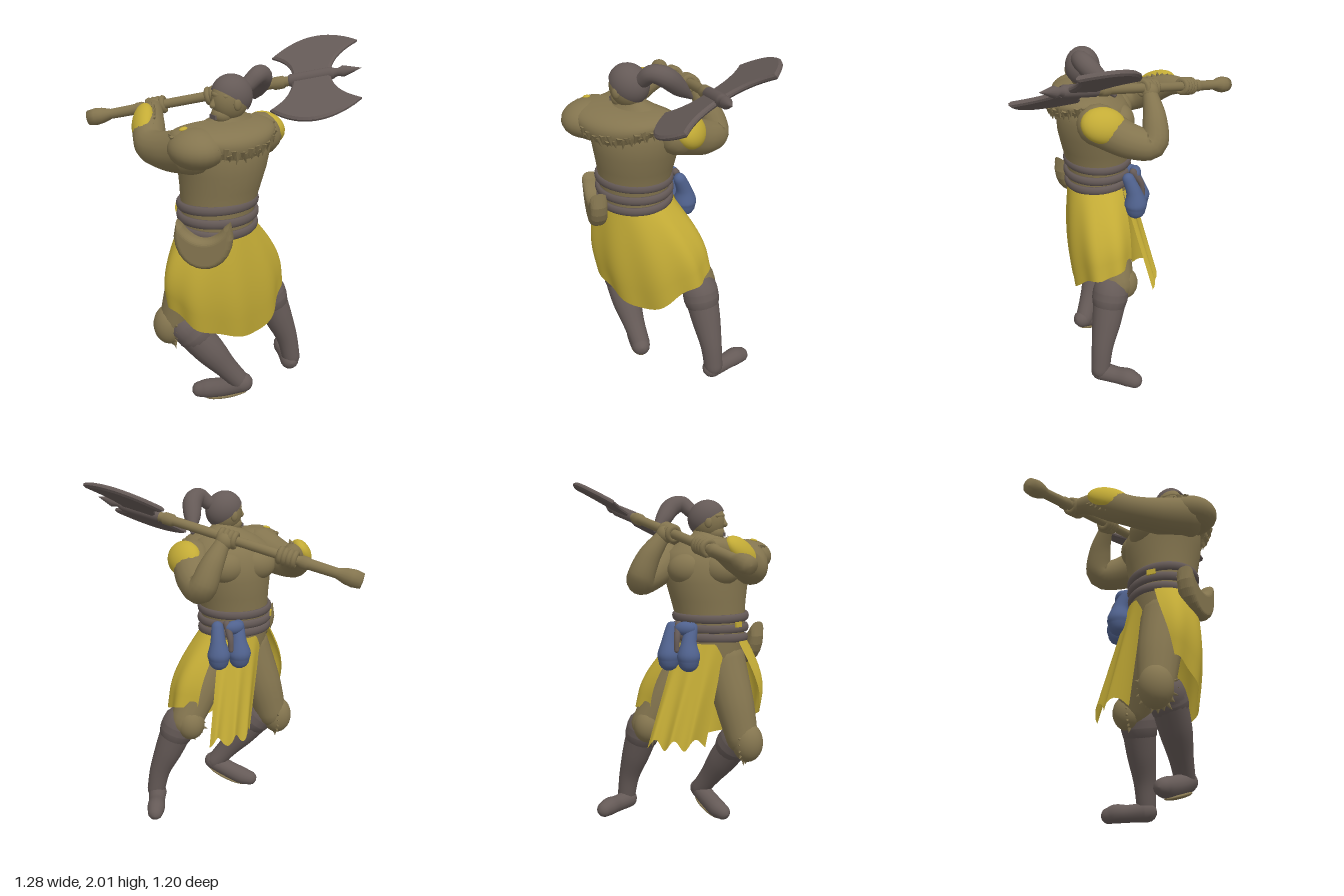
import * as THREE from 'three';
import { ParametricGeometry } from 'three/addons/geometries/ParametricGeometry.js';

const V = (x, y, z) => new THREE.Vector3(x, y, z);
const material = (name, color) => {
  const m = new THREE.MeshStandardMaterial({ color, side: THREE.DoubleSide });
  m.name = name;
  return m;
};

export function createModel() {
  const skin = material('brown hide', 0x84754f);
  const dark = material('dark leather and steel', 0x655a57);
  const gold = material('yellow cloth', 0xc4ac36);
  const blue = material('blue cloth', 0x50628e);
  const model = new THREE.Group();
  model.name = 'axeWarrior';

  const add = (name, geometry, mat, parent = model) => {
    const mesh = new THREE.Mesh(geometry, mat);
    mesh.name = name;
    parent.add(mesh);
    return mesh;
  };
  // Skin rings of equal point count into a smooth surface
  const skinRings = (rings) => {
    const n = rings[0].length, index = [];
    for (let i = 0; i < rings.length - 1; i++) {
      for (let j = 0; j < n; j++) {
        const a = i * n + j, b = i * n + (j + 1) % n;
        index.push(a, b, a + n, b, b + n, a + n);
      }
    }
    const g = new THREE.BufferGeometry().setFromPoints(rings.flat());
    g.setIndex(index);
    g.computeVertexNormals();
    return g;
  };
  // Round-ended tube through points [x, y, z, radius]
  const limb = (name, mat, pts, sides = 16) => {
    const curve = new THREE.CatmullRomCurve3(pts.map((p) => V(p[0], p[1], p[2])));
    const radius = new THREE.CatmullRomCurve3(pts.map((p, i) => V(p[3], i, 0)), false, 'catmullrom', 0.5);
    const steps = pts.length * 6, frames = curve.computeFrenetFrames(steps), rings = [];
    const ring = (i, slide, shrink) => {
      const t = curve.getUtoTmapping(i / steps), r = radius.getPoint(t).x;
      const c = curve.getPoint(t).addScaledVector(frames.tangents[i], slide * r);
      rings.push(Array.from({ length: sides }, (_, j) => {
        const a = j / sides * Math.PI * 2;
        return c.clone().addScaledVector(frames.normals[i], Math.cos(a) * r * shrink)
          .addScaledVector(frames.binormals[i], Math.sin(a) * r * shrink);
      }));
    };
    for (let k = 4; k > 0; k--) ring(0, -Math.sin(k * Math.PI / 8), Math.cos(k * Math.PI / 8) + 1e-4);
    for (let i = 0; i <= steps; i++) ring(i, 0, 1);
    for (let k = 1; k <= 4; k++) ring(steps, Math.sin(k * Math.PI / 8), Math.cos(k * Math.PI / 8) + 1e-4);
    return add(name, skinRings(rings), mat);
  };
  const ball = (name, mat, p, s) => {
    const m = add(name, new THREE.SphereGeometry(1, 24, 16), mat);
    m.position.set(...p);
    m.scale.set(...s);
    return m;
  };
  // Place an object with its local x along xDir and z close to zDir
  const orient = (o, p, xDir, zDir) => {
    const x = xDir.clone().normalize(), y = zDir.clone().cross(x).normalize();
    o.quaternion.setFromRotationMatrix(new THREE.Matrix4().makeBasis(x, y, x.clone().cross(y)));
    o.position.set(...p);
    return o;
  };
  // Ring of fur tufts around an ellipse facing zDir
  const fur = (name, p, xDir, zDir, rx, ry, n, len) => {
    const g = orient(new THREE.Group(), p, xDir, zDir);
    g.name = name;
    model.add(g);
    for (let i = 0; i < n; i++) {
      const a = i / n * Math.PI * 2;
      const c = add('furTuft', new THREE.ConeGeometry(len * 0.5, len * (1 + 0.4 * Math.sin(i * 2.3)), 5), skin, g);
      c.position.set(rx * Math.cos(a), ry * Math.sin(a), 0);
      c.rotation.z = a - Math.PI / 2;
    }
  };

  // Torso as stacked ellipses [y, cx, cz, rx, rz]
  const torso = [[0.95, 0.2, 0.24, 0.17, 0.2], [1.08, 0.2, 0.25, 0.18, 0.2], [1.2, 0.2, 0.25, 0.18, 0.2],
    [1.32, 0.205, 0.235, 0.2, 0.22], [1.42, 0.21, 0.225, 0.215, 0.24], [1.52, 0.215, 0.22, 0.215, 0.26],
    [1.6, 0.225, 0.22, 0.18, 0.25], [1.65, 0.24, 0.21, 0.11, 0.16], [1.7, 0.26, 0.2, 0.06, 0.07], [1.74, 0.27, 0.2, 0.05, 0.06]];
  add('torso', skinRings(torso.map(([y, cx, cz, rx, rz]) => Array.from({ length: 32 }, (_, j) => {
    const a = j / 32 * Math.PI * 2;
    return V(cx + rx * Math.sin(a), y, cz + rz * Math.cos(a));
  }))), skin);
  for (const z of [0.13, 0.33]) ball('chestMuscle', skin, [0.07, 1.5, z], [0.08, 0.09, 0.11]);

  // Fur mantle bulging over the upper back, ending in tufts
  const mantle = (u, v, t) => {
    const a = (u - 0.5) * 3.5, bulge = Math.sin(v * 2.05), edge = 1 - 0.1 * Math.abs(2 * u - 1) ** 4;
    const hem = 1.52 + 0.07 * Math.sin(a) ** 2;
    return t.set(0.235 + (0.06 + 0.185 * bulge) * edge * Math.cos(a), 1.675 - (1.675 - hem) * v * v,
      0.26 + (0.08 + 0.225 * bulge) * edge * Math.sin(a));
  };
  add('furMantle', new ParametricGeometry(mantle, 64, 14), skin);
  for (let i = 0; i < 46; i++) {
    const tuft = add('mantleTuft', new THREE.ConeGeometry(0.02, 0.05 + 0.015 * Math.sin(i * 2.3), 5), skin);
    mantle((i + 0.5) / 46, i % 2 ? 0.97 : 0.9, tuft.position);
    tuft.rotation.x = Math.PI + 0.25 * Math.sin(i * 1.7);
  }

  // Head, face and hair
  ball('head', skin, [0.27, 1.775, 0.22], [0.082, 0.11, 0.1]);
  ball('jaw', skin, [0.265, 1.705, 0.26], [0.055, 0.05, 0.06]);
  limb('nose', skin, [[0.267, 1.79, 0.308, 0.01], [0.265, 1.755, 0.32, 0.016]]);
  limb('brow', skin, [[0.215, 1.803, 0.28, 0.012], [0.267, 1.807, 0.305, 0.014], [0.32, 1.803, 0.28, 0.012]]);
  for (const x of [0.185, 0.355]) ball('ear', skin, [x, 1.765, 0.235], [0.014, 0.032, 0.022]);
  const mouth = add('mouth', new THREE.BoxGeometry(0.05, 0.022, 0.009), dark);
  mouth.position.set(0.264, 1.697, 0.318);
  const hair = add('hair', new THREE.SphereGeometry(1, 28, 18, 0, Math.PI * 2, 0, Math.PI * 0.56), dark);
  hair.position.set(0.27, 1.79, 0.21);
  hair.scale.set(0.096, 0.106, 0.112);
  hair.rotation.x = -0.6;
  limb('ponytail', dark, [[0.28, 1.83, 0.12, 0.04], [0.285, 1.875, 0.06, 0.046], [0.25, 1.855, 0.005, 0.054],
    [0.18, 1.785, -0.03, 0.046], [0.11, 1.715, -0.06, 0.013]]);

  // Arms
  limb('leftArm', skin, [[0.27, 1.55, 0.45, 0.12], [0.1, 1.515, 0.49, 0.1], [-0.04, 1.515, 0.5, 0.085],
    [-0.15, 1.575, 0.44, 0.084], [-0.23, 1.615, 0.375, 0.062], [-0.3, 1.63, 0.32, 0.045]]);
  limb('rightArm', skin, [[0.2, 1.54, -0.03, 0.115], [0.02, 1.46, -0.09, 0.095], [-0.09, 1.45, -0.1, 0.08],
    [-0.105, 1.57, -0.05, 0.065], [-0.085, 1.69, 0.03, 0.04]]);
  ball('leftShoulder', skin, [0.31, 1.57, 0.45], [0.15, 0.1, 0.14]);
  // Yellow pads on forearm and shoulders
  const pad = (name, p, axis, normal, size) => orient(ball(name, gold, [0, 0, 0], size), p, axis, normal);
  const bracerAxis = V(-0.2, 0.12, -0.13), bracerFace = V(-0.3, 0.5, 0.8);
  pad('forearmPad', [-0.165, 1.602, 0.47], bracerAxis, bracerFace, [0.13, 0.078, 0.052]);
  fur('bracerFur', [-0.16, 1.59, 0.45], bracerAxis, bracerFace, 0.13, 0.083, 24, 0.028);
  pad('rightShoulderPad', [0.17, 1.555, -0.085], V(1, 0.2, -0.1), V(-0.1, 0.5, -0.8), [0.125, 0.1, 0.075]);
  pad('leftShoulderSpot', [0.26, 1.664, 0.49], V(1, 0, 0), V(0, 1, 0.2), [0.018, 0.022, 0.008]);

  // Double-bladed axe: local x along the shaft, y towards the upper blade
  const axe = orient(new THREE.Group(), [0.3, 1.825, -0.3], V(1.07, 0.33, -1.02),
    V(1.07, 0.33, -1.02).cross(V(-0.335, 0.22, -0.295)));
  axe.name = 'axe';
  model.add(axe);
  const turned = (name, mat, pts) => {
    add(name, new THREE.LatheGeometry(pts.map((p) => new THREE.Vector2(...p)), 16), mat, axe).rotation.z = -Math.PI / 2;
  };
  turned('shaft', skin, [[0, -1.29], [0.042, -1.285], [0.048, -1.24], [0.043, -1.2], [0.028, -1.15], [0.03, -1],
    [0.035, -0.99], [0.035, -0.96], [0.026, -0.94], [0.026, -0.22], [0.034, -0.21], [0.034, -0.16], [0.026, -0.15], [0.026, 0.1]]);
  turned('axeSocket', dark, [[0.028, -0.13], [0.034, -0.12], [0.034, 0.09], [0.028, 0.11]]);
  turned('axeSpike', dark, [[0.028, 0.1], [0.02, 0.13], [0.03, 0.16], [0, 0.255]]);
  const bladeShape = new THREE.Shape();
  bladeShape.moveTo(-0.1, 0);
  bladeShape.quadraticCurveTo(-0.09, 0.14, -0.21, 0.222);
  bladeShape.quadraticCurveTo(0, 0.44, 0.226, 0.242);
  bladeShape.quadraticCurveTo(0.08, 0.15, 0.08, 0);
  const bladeGeometry = new THREE.ExtrudeGeometry(bladeShape, { depth: 0.01, bevelThickness: 0.01, bevelSize: 0.012, bevelSegments: 1, curveSegments: 16 });
  bladeGeometry.translate(0, 0, -0.005);
  for (const turn of [0, Math.PI]) add('axeBlade', bladeGeometry, dark, axe).rotation.x = turn;
  // Fists wrapped around the shaft
  for (const [side, u] of [['left', -0.878], ['right', -0.538]]) {
    for (let i = 0; i < 4; i++) {
      const finger = add(side + 'Finger', new THREE.TorusGeometry(0.034, 0.017, 8, 18), skin, axe);
      finger.position.x = u + (i - 1.5) * 0.026;
      finger.rotation.y = Math.PI / 2;
    }
  }
  ball('leftPalm', skin, [-0.315, 1.632, 0.305], [0.055, 0.048, 0.055]);
  ball('rightPalm', skin, [-0.085, 1.695, 0.04], [0.05, 0.05, 0.05]);

  // Wrapped belts and buckle
  [[1.105, 0.185, 0.207], [1.165, 0.188, 0.21], [1.23, 0.187, 0.21]].forEach(([y, rx, rz], i) => {
    const belt = add('belt', new THREE.TorusGeometry(1, 0.075, 10, 48).scale(rx, rz, 0.33), dark);
    belt.position.set(0.2, y, 0.25);
    belt.rotation.set(Math.PI / 2, 0.05 * (i - 1), 0);
  });
  const buckle = add('buckle', new THREE.BoxGeometry(0.05, 0.03, 0.009), gold);
  buckle.position.set(0.08, 1.19, 0.432);
  buckle.rotation.y = -0.6;

  // Skirt wrapped round the back, open over the front legs
  add('skirt', new ParametricGeometry((u, v, t) => {
    const a = -2.35 + u * (4.5 - 0.55 * v);
    const s = Math.sin(a), flare = Math.sin(Math.min(1, v * 1.25) * Math.PI / 2);
    const fold = 0.01 * v * Math.sin(a * 9);
    const hem = 0.46 + 0.19 * s * s + 0.015 * Math.sin(a * 5) + 0.1 * Math.max(0, -a - 1.4);
    t.set(0.195 - 0.03 * v + (0.18 + 0.055 * flare - 0.03 * v * v + fold) * Math.cos(a), 1.11 - (1.11 - hem) * v,
      0.255 - 0.08 * v + (0.2 + 0.165 * flare + fold) * s);
  }, 72, 16), gold);
  // Hanging front panel, curved round the open side
  add('frontPanel', new ParametricGeometry((u, v, t) => {
    const w = u * 2 - 1, fold = 0.014 * v * Math.sin(w * 9);
    const bottom = -0.13 + 0.12 * Math.max(w, 0) ** 2 + 0.03 * Math.max(-w, 0) ** 2;
    t.set((0.01 + 0.05 * w * w) * (1 - v) + bottom * v + fold, 1.08 - (0.57 - 0.03 * Math.cos(w * 9)) * v,
      (0.22 + 0.14 * w) * (1 - v) + (0.1 + 0.16 * w) * v);
  }, 32, 12), gold);

  // Crescent hip pouch
  const pouchShape = new THREE.Shape();
  pouchShape.moveTo(-0.13, 0.115);
  pouchShape.bezierCurveTo(-0.165, -0.165, 0.165, -0.165, 0.13, 0.115);
  pouchShape.quadraticCurveTo(0.08, 0.03, 0, 0.03);
  pouchShape.quadraticCurveTo(-0.08, 0.03, -0.13, 0.115);
  const pouch = add('hipPouch', new THREE.ExtrudeGeometry(pouchShape, { depth: 0.015, bevelThickness: 0.04, bevelSize: 0.03, bevelOffset: -0.01, bevelSegments: 6, curveSegments: 14 }), skin);
  orient(pouch, [0.325, 1.05, 0.425], V(1, 0, -1), V(1, 0, 1));

  // Blue purses hanging from the belt
  for (const [x, z] of [[0, 0.045], [-0.025, 0.165]]) {
    limb('bluePurse', blue, [[x + 0.03, 1.17, z + 0.01, 0.035], [x, 1.09, z, 0.045], [x - 0.01, 1.02, z, 0.066], [x - 0.01, 0.985, z, 0.06]]);
  }
  limb('purseCord', dark, [[0, 1.19, 0.1, 0.022], [-0.045, 1.12, 0.1, 0.018], [-0.055, 1.05, 0.1, 0.014]]);
  ball('blueKnot', blue, [-0.015, 1.17, 0.14], [0.035, 0.04, 0.06]);

  // Legs, boots and feet
  limb('leftThigh', skin, [[0.18, 0.98, 0.33, 0.13], [0.12, 0.72, 0.41, 0.115], [0.09, 0.53, 0.46, 0.095]]);
  limb('rightThigh', skin, [[0.2, 0.98, 0.14, 0.13], [0.15, 0.78, 0.01, 0.12], [0.11, 0.58, -0.11, 0.098]]);
  limb('leftBoot', dark, [[0.15, 0.5, 0.43, 0.095], [0.22, 0.35, 0.33, 0.087], [0.27, 0.23, 0.25, 0.065], [0.31, 0.13, 0.18, 0.055]]);
  limb('rightBoot', dark, [[0.15, 0.53, -0.145, 0.1], [0.18, 0.37, -0.2, 0.085], [0.21, 0.22, -0.25, 0.064], [0.225, 0.08, -0.275, 0.055]]);
  limb('leftBootCuff', dark, [[0.15, 0.5, 0.42, 0.1], [0.17, 0.46, 0.395, 0.102]]);
  limb('rightBootCuff', dark, [[0.15, 0.545, -0.142, 0.105], [0.157, 0.5, -0.155, 0.105]]);
  limb('leftFoot', dark, [[0.325, 0.125, 0.17, 0.055], [0.24, 0.08, 0.25, 0.055], [0.17, 0.055, 0.31, 0.055], [0.14, 0.046, 0.345, 0.046]]);
  limb('rightFoot', dark, [[0.225, 0.056, -0.265, 0.056], [0.13, 0.052, -0.31, 0.05], [0.065, 0.054, -0.34, 0.054], [0.028, 0.046, -0.36, 0.046]]);
  orient(ball('leftSole', skin, [0, 0, 0], [0.13, 0.044, 0.016]), [0.255, 0.036, 0.235], V(0.19, 0.085, -0.18), V(0.25, -1, -0.25));

  // Fur-trimmed knee guards
  ball('leftKneeGuard', skin, [0.075, 0.505, 0.495], [0.09, 0.115, 0.09]);
  fur('leftKneeFur', [0.085, 0.505, 0.485], V(1, 0, 0.3), V(-0.3, 0, 1), 0.088, 0.113, 20, 0.045);
  ball('rightKneeGuard', skin, [0.075, 0.57, -0.1], [0.085, 0.1, 0.085]);
  fur('rightKneeFur', [0.09, 0.57, -0.1], V(0.5, 0, -1), V(-1, 0, -0.5), 0.083, 0.1, 20, 0.045);

  return model;
}
